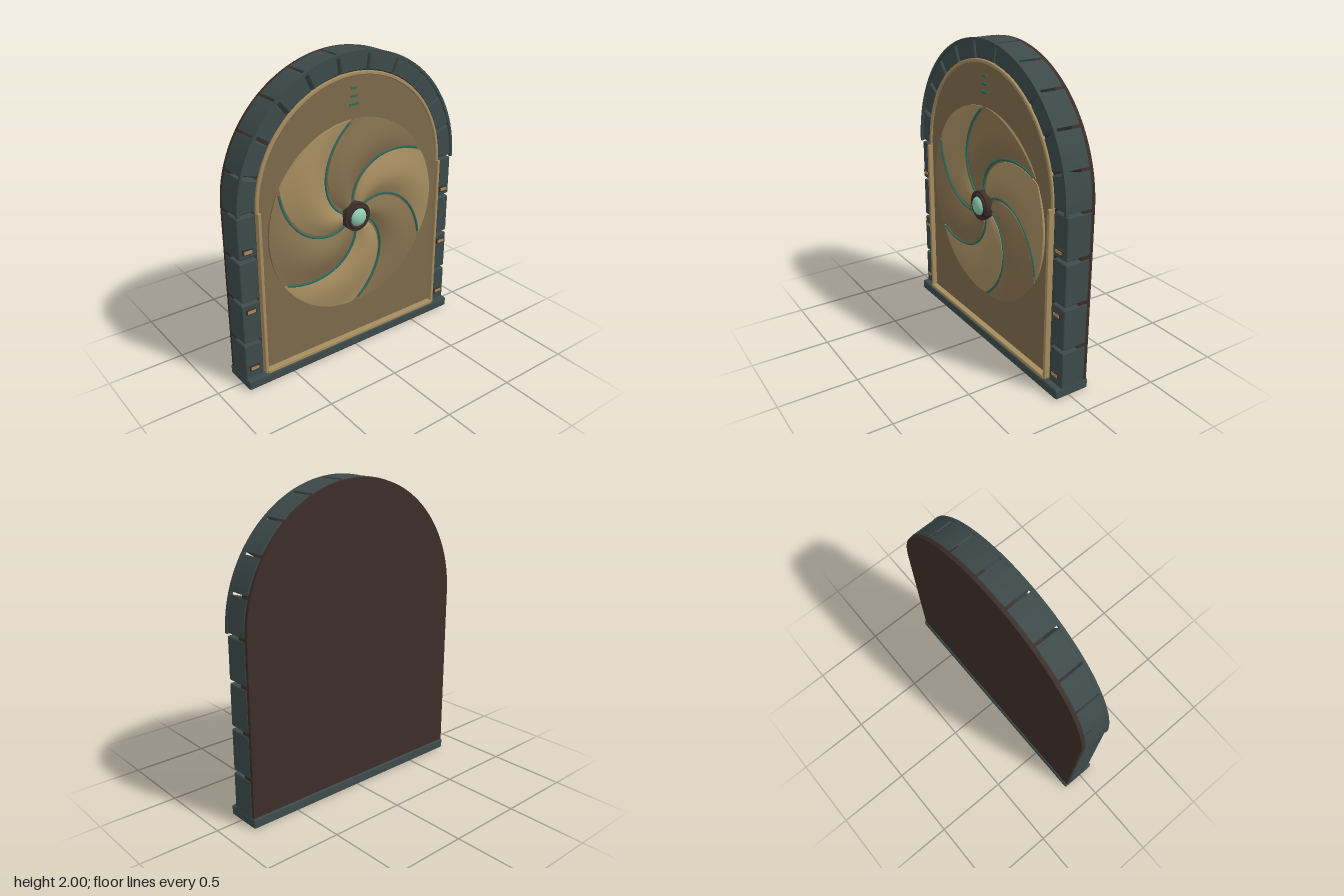
import * as THREE from 'three';
import { toCreasedNormals } from 'three/addons/utils/BufferGeometryUtils.js';
import { RoundedBoxGeometry } from 'three/addons/geometries/RoundedBoxGeometry.js';

const ARCH_Y = 1.17; // springing line of the arch
const HUB_Y = 0.96; // centre of the spiral iris
const RIM = 0.63; // iris radius

function material(name, color) {
  const m = new THREE.MeshStandardMaterial({ color });
  m.name = name;
  return m;
}

// Straight-sided outline with a round top
function archShape(r, bottom) {
  const s = new THREE.Shape();
  s.moveTo(-r, bottom);
  s.lineTo(r, bottom);
  s.lineTo(r, ARCH_Y);
  s.absarc(0, ARCH_Y, r, 0, Math.PI, false);
  s.closePath();
  return s;
}

// Piece of a ring between two angles, about the arch centre
function ringShape(r0, r1, a0, a1, pad = 0) {
  const s = new THREE.Shape();
  s.absarc(0, 0, r1, a0 + pad / r1, a1 - pad / r1, false);
  s.absarc(0, 0, r0, a1 - pad / r0, a0 + pad / r0, true);
  s.closePath();
  return s;
}

function extrude(shape, z0, z1, bevel = 0, curveSegments = 48) {
  const g = new THREE.ExtrudeGeometry(shape, {
    depth: z1 - z0 - 2 * bevel, curveSegments,
    bevelEnabled: bevel > 0, bevelSize: bevel, bevelThickness: bevel, bevelOffset: -bevel, bevelSegments: 1,
  });
  g.translate(0, 0, z0 + bevel);
  return toCreasedNormals(g, 0.4);
}

// Spiral seam angle at a given radius
const seam = (r) => THREE.MathUtils.degToRad(32 + (RIM - r) * 133);

// One bulging spiral blade, with a skirt down to the panel
function bladeGeometry() {
  const nr = 28, nt = 18, pos = [], idx = [];
  for (let i = -1; i <= nr + 1; i++) {
    for (let j = -1; j <= nt + 1; j++) {
      const v = THREE.MathUtils.clamp(i / nr, 0, 1);
      const u = THREE.MathUtils.clamp(j / nt, 0, 1);
      const r = 0.07 + (RIM - 0.07) * v;
      const a = seam(r) + u * (Math.PI / 3 - 0.03 / r);
      const skirt = i < 0 || j < 0 || i > nr || j > nt;
      const bulge = 0.033 * Math.sin(Math.PI * u) * Math.sin(Math.PI * (0.1 + 0.8 * v));
      pos.push(r * Math.cos(a), r * Math.sin(a), skirt ? 0.055 : 0.066 + bulge);
    }
  }
  const w = nt + 3;
  for (let i = 0; i < nr + 2; i++) {
    for (let j = 0; j < nt + 2; j++) {
      const a = i * w + j, b = a + w;
      idx.push(a, b, b + 1, a, b + 1, a + 1);
    }
  }
  const g = new THREE.BufferGeometry();
  g.setAttribute('position', new THREE.Float32BufferAttribute(pos, 3));
  g.setIndex(idx);
  return toCreasedNormals(g, 0.6);
}

// Thin raised line following a blade edge
function seamGeometry() {
  const pts = [];
  for (let i = 0; i <= 12; i++) {
    const r = 0.08 + (0.615 - 0.08) * (i / 12);
    const a = seam(r) - 0.007 / r;
    pts.push(new THREE.Vector3(r * Math.cos(a), r * Math.sin(a), 0.066));
  }
  return new THREE.TubeGeometry(new THREE.CatmullRomCurve3(pts), 48, 0.008, 6, false);
}

export function createModel() {
  const model = new THREE.Group();
  const stone = material('slate stone', 0x3d4a4a);
  const brown = material('dark brown', 0x3d2e29);
  const bronze = material('bronze panel', 0x7d6a4a);
  const darkBlade = material('dark bronze', 0x87724f);
  const gold = material('light bronze', 0xa68d60);
  const teal = material('teal inlay', 0x2f6b5e);
  const jade = material('pale jade', 0x8ecbb0);

  const add = (name, geo, mat, x = 0, y = 0, z = 0, parent = model) => {
    const m = new THREE.Mesh(geo, mat);
    m.name = name;
    m.position.set(x, y, z);
    parent.add(m);
    return m;
  };
  const box = (w, h, d, r = 0) =>
    r ? new RoundedBoxGeometry(w, h, d, 2, r) : new THREE.BoxGeometry(w, h, d);

  // Back slab, sill and door panel
  add('backSlab', extrude(archShape(0.824, 0.03), -0.13, -0.05), brown);
  add('sill', box(1.66, 0.065, 0.24, 0.012), stone, 0, 0.0325, -0.02);
  add('doorPanel', extrude(archShape(0.695, 0.06), 0.05, 0.06), bronze);

  // Stone blocks and clasps of the two pillars
  for (const side of [-1, 1]) {
    for (let k = 0; k < 4; k++) {
      add('pillarBlock', box(0.122, 0.268, 0.17, 0.01), stone, side * 0.767, 0.168 + k * 0.286, -0.025);
    }
    for (const y of [0.135, 0.54, 0.94]) {
      add('claspBacking', box(0.066, 0.032, 0.02), brown, side * 0.77, y, 0.062);
      add('clasp', box(0.054, 0.02, 0.01), gold, side * 0.77, y, 0.07);
    }
    add('sideRail', box(0.022, 1.1, 0.04, 0.005), gold, side * 0.694, 0.62, 0.073);
  }
  add('bottomRail', box(1.38, 0.024, 0.045, 0.005), gold, 0, 0.077, 0.076);

  // Arch stones with open joints
  const stones = 11;
  for (let k = 0; k < stones; k++) {
    const a = (k * Math.PI) / stones;
    add('archStone', extrude(ringShape(0.706, 0.828, a, a + Math.PI / stones, 0.009), -0.11, 0.065, 0.007, 12),
      stone, 0, ARCH_Y, 0);
  }
  add('archRim', extrude(ringShape(0.812, 0.83, 0, Math.PI), 0.055, 0.076), stone, 0, ARCH_Y, 0);
  add('archTrim', extrude(ringShape(0.683, 0.706, 0, Math.PI), 0.05, 0.073, 0.004), gold, 0, ARCH_Y, 0);

  // Spiral iris of six blades in alternating tones
  const iris = new THREE.Group();
  iris.name = 'iris';
  iris.position.y = HUB_Y;
  model.add(iris);
  const blade = bladeGeometry(), line = seamGeometry();
  for (let k = 0; k < 6; k++) {
    const turn = (k * Math.PI) / 3;
    add('blade', blade, k % 2 ? gold : darkBlade, 0, 0, 0, iris).rotation.z = turn;
    add('bladeSeam', line, teal, 0, 0, 0, iris).rotation.z = turn;
  }

  // Hub with collar and jewel
  const disc = (r, d) => new THREE.CylinderGeometry(r, r, d, 40).rotateX(Math.PI / 2);
  add('hub', disc(0.095, 0.06), brown, 0, 0, 0.08, iris);
  add('hubCollar', new THREE.TorusGeometry(0.07, 0.011, 10, 40), brown, 0, 0, 0.112, iris);
  add('jewel', new THREE.SphereGeometry(0.06, 32, 20), jade, 0, 0, 0.108, iris).scale.z = 0.6;

  // Three inlaid marks above the iris
  [[1.78, 0.035], [1.73, 0.05], [1.68, 0.066]].forEach(([y, w]) =>
    add('inlayMark', box(w, 0.013, 0.009), teal, 0, y, 0.0635));

  return model;
}
